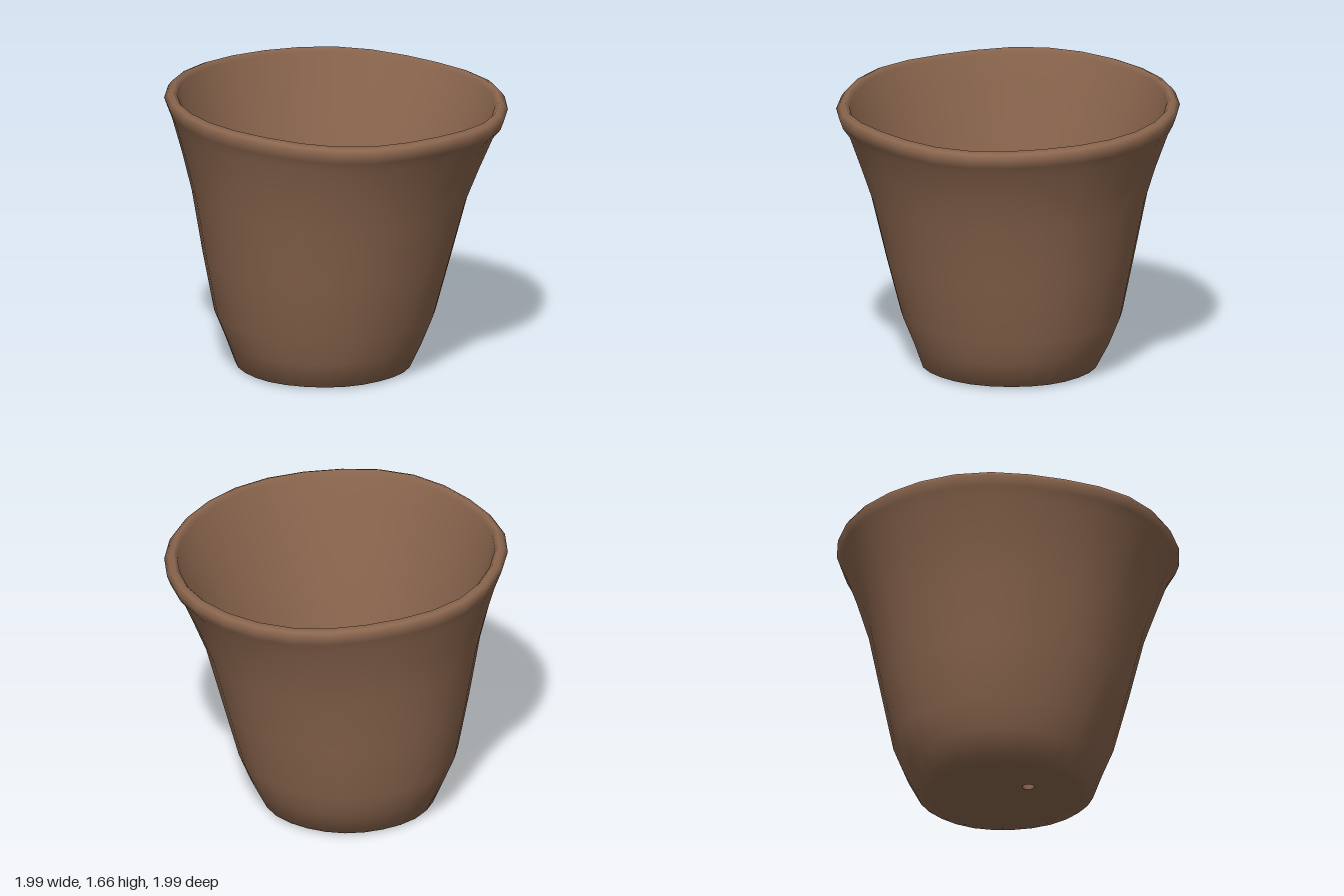
import * as THREE from 'three';

const SIDES = 28;

// Each ring: radius, height, centre x, centre z, share of the rim's tilt
const OUTSIDE = [
  [0.035, 0.03, -0.18, 0.03, 0],
  [0.20, 0.025, -0.10, -0.02, 0],
  [0.43, 0.008, -0.055, -0.05, 0],
  [0.51, 0.02, -0.055, -0.05, 0],
  [0.575, 0.17, -0.04, -0.055, 0],
  [0.64, 0.33, -0.04, -0.055, 0],
  [0.72, 0.68, -0.035, -0.04, 0.1],
  [0.80, 1.05, -0.025, -0.025, 0.3],
  [0.87, 1.27, -0.015, -0.015, 0.6],
  [0.94, 1.47, -0.005, -0.01, 0.9],
];
const RIM = [
  [0.975, 1.53, 0, 0, 1],
  [0.995, 1.585, 0, 0, 1],
  [0.975, 1.613, 0, 0, 1],
  [0.945, 1.627, 0, 0, 1],
  [0.92, 1.60, 0, 0, 1],
];
const INSIDE = [
  [0.885, 1.45, -0.005, -0.01, 0.9],
  [0.745, 1.05, -0.025, -0.025, 0.3],
  [0.66, 0.68, -0.035, -0.04, 0.1],
  [0.575, 0.33, -0.04, -0.055, 0],
  [0.52, 0.17, -0.03, -0.05, 0],
  [0.44, 0.09, -0.03, -0.05, 0],
  [0.20, 0.08, -0.10, -0.02, 0],
  [0.035, 0.07, -0.18, 0.03, 0],
];

// Joins rings of points into one smooth skin
function skin(rings) {
  const position = [], index = [];
  rings.forEach(([r, y, cx, cz, tilt]) => {
    for (let j = 0; j < SIDES; j++) {
      const a = (j / SIDES) * Math.PI * 2;
      // Slight hand-made unevenness
      const wobble = r * (1 + 0.006 * Math.sin(3 * a + 1) + 0.004 * Math.sin(7 * a));
      const x = cx + wobble * Math.cos(a);
      const z = cz + wobble * Math.sin(a);
      const lift = tilt * (-0.022 * x - 0.03 * z + 0.006 * Math.sin(5 * a));
      position.push(x, y + lift, z);
    }
  });
  for (let i = 0; i < rings.length - 1; i++) {
    for (let j = 0; j < SIDES; j++) {
      const k = (j + 1) % SIDES;
      const a = i * SIDES + j, b = i * SIDES + k;
      index.push(a, a + SIDES, b, b, a + SIDES, b + SIDES);
    }
  }
  const geometry = new THREE.BufferGeometry();
  geometry.setAttribute('position', new THREE.Float32BufferAttribute(position, 3));
  geometry.setIndex(index);
  geometry.computeVertexNormals();
  return geometry;
}

export function createModel() {
  const model = new THREE.Group();
  model.name = 'flowerPot';
  const clay = new THREE.MeshStandardMaterial({ color: 0x8b664e });
  clay.name = 'brown clay';

  // Wall, rolled rim and floor in one continuous skin
  const pot = new THREE.Mesh(skin([...OUTSIDE, ...RIM, ...INSIDE]), clay);
  pot.name = 'pot';

  // Wall of the off-centre drain hole
  const hole = new THREE.Mesh(skin([INSIDE[INSIDE.length - 1], OUTSIDE[0]]), clay);
  hole.name = 'drainHole';

  model.add(pot, hole);
  return model;
}
